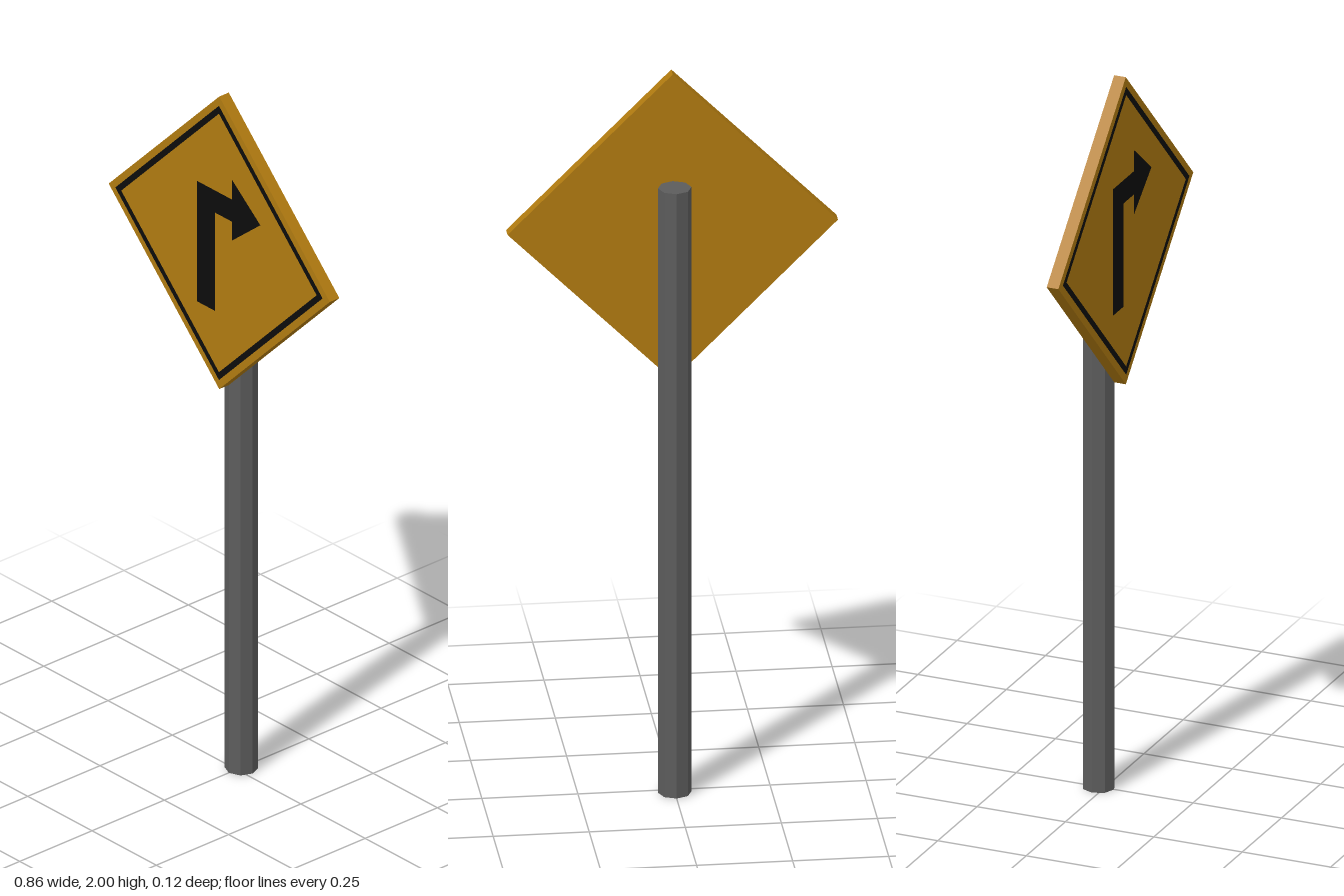
import * as THREE from 'three';

const CENTRE_Y = 1.57;
const PANEL_BACK = 0.027;
const PANEL_FRONT = 0.06;

// Diamond outline with the given half diagonal
function diamond(r, Type = THREE.Shape) {
  return new Type([[r, 0], [0, r], [-r, 0], [0, -r]].map(([x, y]) => new THREE.Vector2(x, y)));
}

export function createModel() {
  const group = new THREE.Group();
  const material = (color) => new THREE.MeshStandardMaterial({ color, flatShading: true });
  const yellow = material(0xb07a10);
  const black = material(0x0c0c0c);
  const steel = material(0x5c5c5c);

  function add(name, geometry, mat, x, y, z) {
    const mesh = new THREE.Mesh(geometry, mat);
    mesh.name = name;
    mesh.position.set(x, y, z);
    group.add(mesh);
  }

  // Eight-sided pole behind the panel
  add('pole', new THREE.CylinderGeometry(0.0435, 0.0435, 1.7, 8), steel, 0, 0.85, -0.0165);

  // Diamond panel
  const panel = new THREE.ExtrudeGeometry(diamond(0.43), {
    depth: PANEL_FRONT - PANEL_BACK, bevelEnabled: false,
  });
  add('signPanel', panel, yellow, 0, CENTRE_Y, PANEL_BACK);

  // Painted border line
  const border = diamond(0.403);
  border.holes.push(diamond(0.38, THREE.Path));
  add('border', new THREE.ShapeGeometry(border), black, 0, CENTRE_Y, PANEL_FRONT + 0.001);

  // Painted right-turn arrow: stem, arm and head in one outline
  const arrow = new THREE.Shape([
    [-0.085, 1.364], [-0.016, 1.364], [-0.016, 1.653], [0.05, 1.653], [0.05, 1.597],
    [0.161, 1.687], [0.05, 1.777], [0.05, 1.718], [-0.085, 1.718],
  ].map(([x, y]) => new THREE.Vector2(x, y)));
  add('turnArrow', new THREE.ShapeGeometry(arrow), black, 0, 0, PANEL_FRONT + 0.001);

  return group;
}
